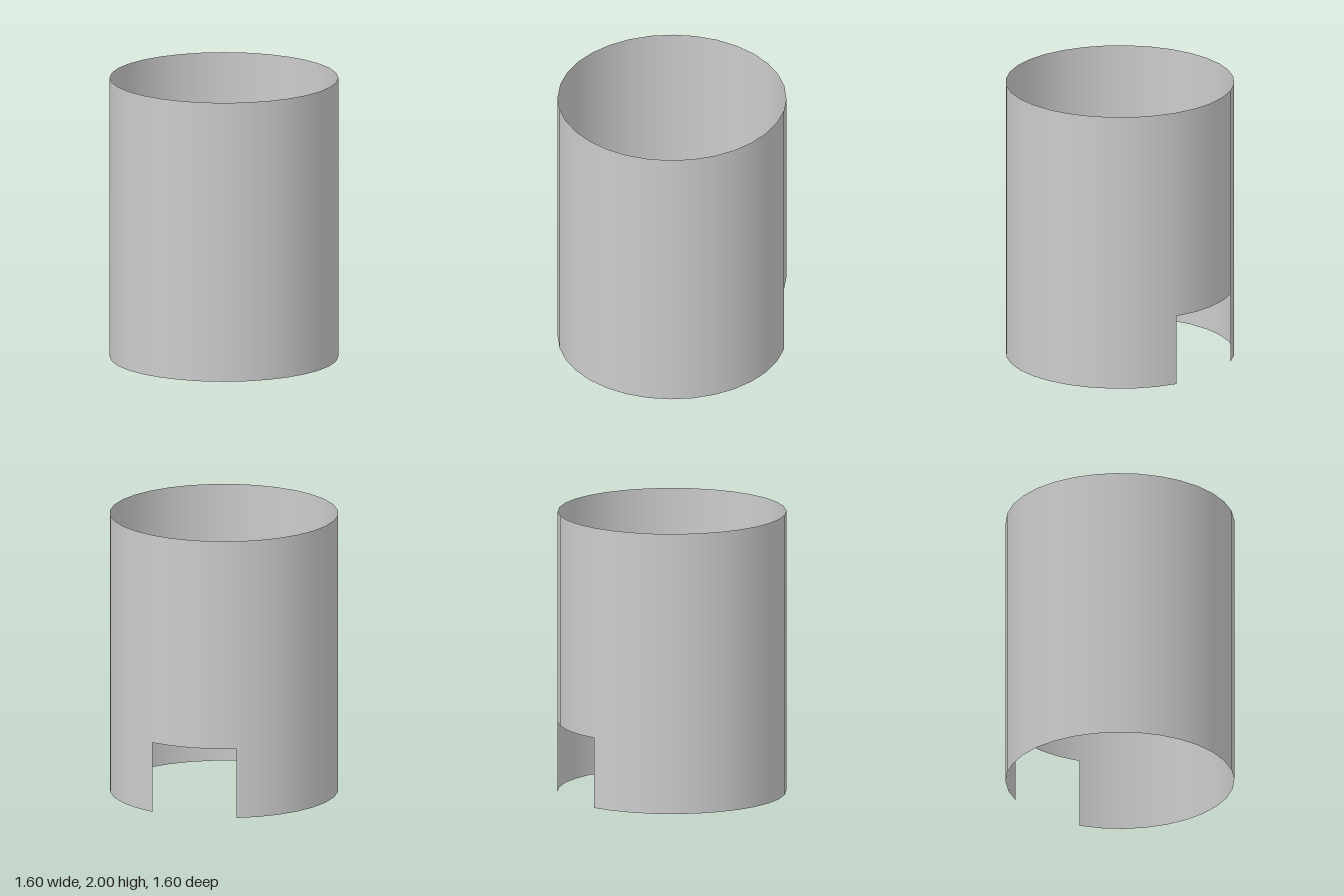
import * as THREE from 'three';

const RADIUS = 0.8, HEIGHT = 2, SIDES = 32;
const NOTCH_HEIGHT = 0.5, NOTCH_SIDES = 4;

export function createModel() {
  const model = new THREE.Group();
  model.name = 'notchedTube';
  const material = new THREE.MeshStandardMaterial({ color: 0xcccccc, side: THREE.DoubleSide });

  // Thin open wall between two heights, with a gap centred on the back
  function addWall(name, bottom, top, gapSides) {
    const step = (2 * Math.PI) / SIDES;
    const sides = SIDES - gapSides;
    const geometry = new THREE.CylinderGeometry(
      RADIUS, RADIUS, top - bottom, sides, 1, true,
      Math.PI + (gapSides / 2) * step, sides * step);
    geometry.translate(0, (top + bottom) / 2, 0);
    const mesh = new THREE.Mesh(geometry, material);
    mesh.name = name;
    model.add(mesh);
  }

  // Full ring above the doorway, and the lower wall interrupted by it
  addWall('upperWall', NOTCH_HEIGHT, HEIGHT, 0);
  addWall('lowerWall', 0, NOTCH_HEIGHT, NOTCH_SIDES);

  return model;
}
